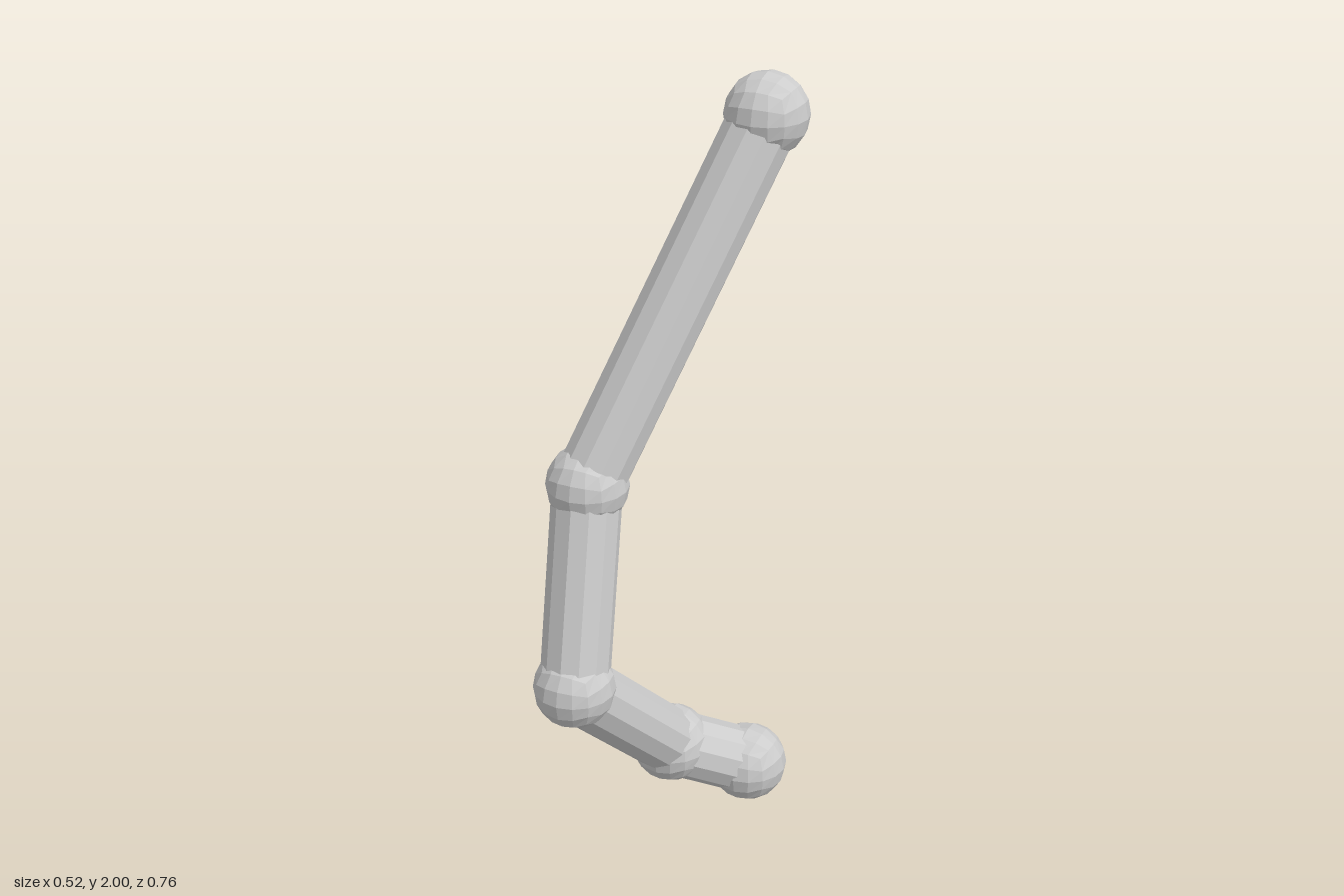
import * as THREE from 'three';

const JOINT_RADIUS = 0.104;
const BONE_RADIUS = 0.088;

// Ball made of a box grid pushed out to a sphere at equal angles
function ballGeometry(radius, segments) {
  const geometry = new THREE.BoxGeometry(2, 2, 2, segments, segments, segments);
  const position = geometry.attributes.position;
  const v = new THREE.Vector3();
  const bend = (t) => Math.tan((t * Math.PI) / 4);
  for (let i = 0; i < position.count; i++) {
    v.fromBufferAttribute(position, i);
    v.set(bend(v.x), bend(v.y), bend(v.z)).setLength(radius);
    position.setXYZ(i, v.x, v.y, v.z);
  }
  geometry.computeVertexNormals();
  return geometry;
}

export function createModel() {
  const group = new THREE.Group();
  group.name = 'jointedLimb';
  const material = new THREE.MeshStandardMaterial({ color: 0xcccccc, flatShading: true });

  // Joint centres from top to tip
  const joints = [
    ['shoulderJoint', 0.135, 1.896, -0.276],
    ['elbowJoint', -0.155, 1.04, 0.13],
    ['wristJoint', -0.13, 0.545, 0.275],
    ['knuckleJoint', -0.02, 0.195, -0.07],
    ['tipJoint', 0.153, 0.105, -0.19],
  ].map(([name, x, y, z]) => ({ name, point: new THREE.Vector3(x, y, z) }));

  // Balls at the joints
  const ball = ballGeometry(JOINT_RADIUS, 4);
  for (const { name, point } of joints) {
    const mesh = new THREE.Mesh(ball, material);
    mesh.name = name;
    mesh.position.copy(point);
    group.add(mesh);
  }

  // Straight rods between neighbouring joints
  const up = new THREE.Vector3(0, 1, 0);
  ['upperRod', 'middleRod', 'lowerRod', 'tipRod'].forEach((name, i) => {
    const a = joints[i].point;
    const b = joints[i + 1].point;
    const axis = a.clone().sub(b);
    const rod = new THREE.CylinderGeometry(BONE_RADIUS, BONE_RADIUS, axis.length(), 12);
    const mesh = new THREE.Mesh(rod, material);
    mesh.name = name;
    mesh.position.copy(a).add(b).multiplyScalar(0.5);
    mesh.quaternion.setFromUnitVectors(up, axis.normalize());
    group.add(mesh);
  });

  return group;
}
